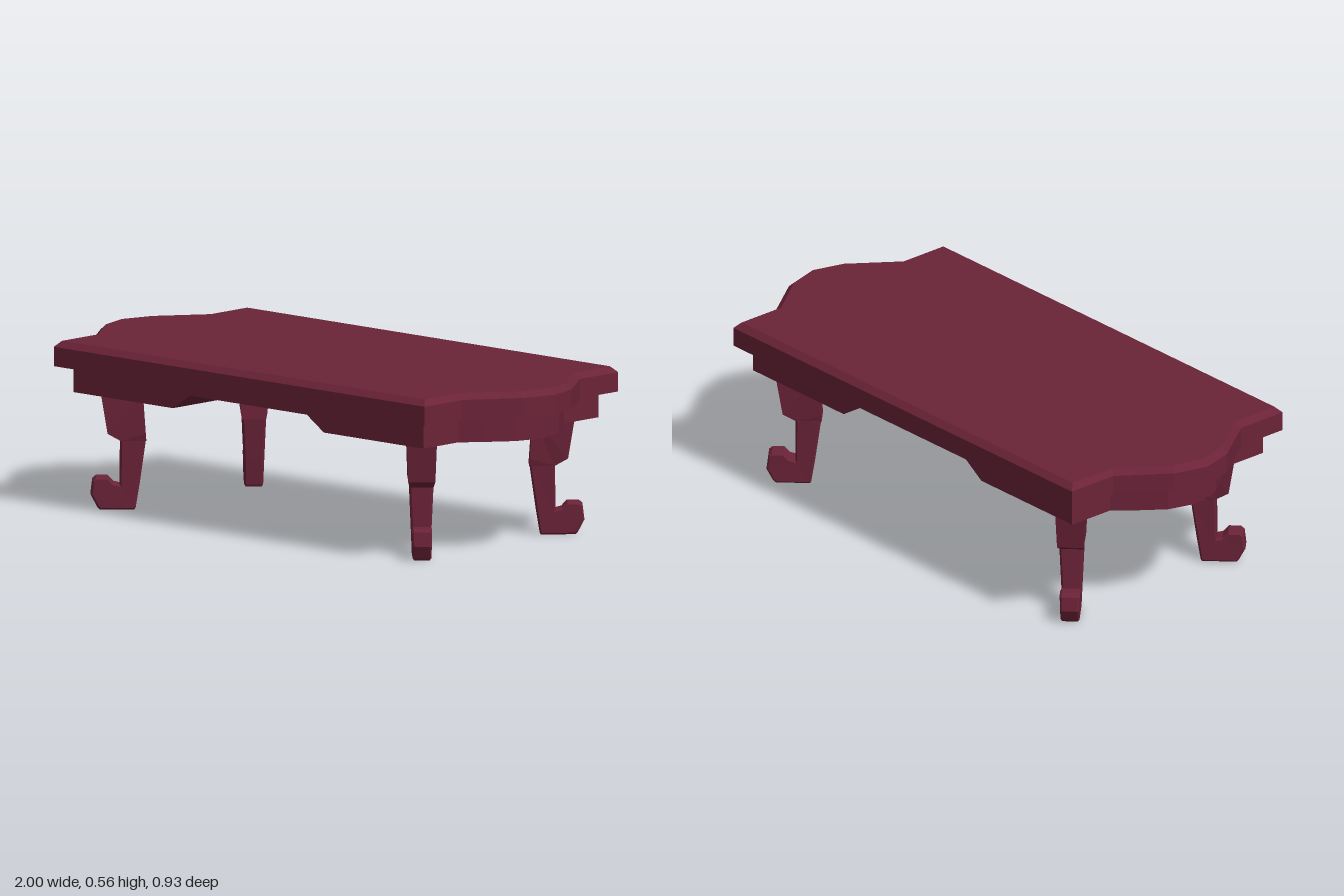
import * as THREE from 'three';

const shapeOf = (pts) => new THREE.Shape(pts.map(([x, y]) => new THREE.Vector2(x, y)));

// Moves every vertex of a geometry by a rule and refreshes the normals.
function reshape(geo, rule) {
  const p = geo.attributes.position;
  const v = new THREE.Vector3();
  for (let i = 0; i < p.count; i++) {
    v.fromBufferAttribute(p, i);
    rule(v);
    p.setXYZ(i, v.x, v.y, v.z);
  }
  geo.computeVertexNormals();
  return geo;
}

// Straight-sided plan extruded upward from y = 0.
function slab(pts, height, steps = 1) {
  const geo = new THREE.ExtrudeGeometry(shapeOf(pts), { depth: height, steps, bevelEnabled: false });
  return geo.rotateX(-Math.PI / 2);
}

// Bowed end of a plan, from the front corner round to the back corner.
function endCurve(quarter) {
  const back = quarter.slice(0, -1).reverse().map(([x, z]) => [x, -z]);
  return [...quarter, ...back];
}

// Piecewise linear half width of the leg at height y.
const WIDTHS = [[0, 0.031], [0.09, 0.033], [0.235, 0.04], [0.26, 0.045], [0.4, 0.05]];
function halfWidth(y) {
  for (let i = 1; i < WIDTHS.length; i++) {
    const [y0, w0] = WIDTHS[i - 1];
    const [y1, w1] = WIDTHS[i];
    if (y <= y1) return THREE.MathUtils.mapLinear(y, y0, y1, w0, w1);
  }
  return 0.05;
}

// Side profile given a tapering width.
function legPart(profile, bevel) {
  const geo = new THREE.ExtrudeGeometry(shapeOf(profile), {
    depth: 2 - 2 * bevel * 30, bevelEnabled: bevel > 0, bevelSegments: 1,
    bevelSize: bevel, bevelOffset: -bevel, bevelThickness: bevel * 30,
  });
  geo.translate(0, 0, -(1 - bevel * 30));
  return reshape(geo, (v) => { v.z *= halfWidth(v.y); });
}

export function createModel() {
  const group = new THREE.Group();
  group.name = 'lowTable';
  const wood = new THREE.MeshStandardMaterial({ color: 0x6b2338 });
  wood.name = 'mahogany';
  const add = (parent, geo, name) => {
    const mesh = new THREE.Mesh(geo, wood);
    mesh.name = name;
    parent.add(mesh);
    return mesh;
  };

  // Table top with bowed ends and a chamfered upper edge
  const topEnd = endCurve([[0.848, 0.466], [0.848, 0.283], [0.9, 0.21], [0.968, 0.115], [1, 0]]);
  const topPlan = [...topEnd, ...topEnd.map(([x, z]) => [-x, -z])];
  const top = reshape(slab(topPlan, 0.085, 2), (v) => {
    if (v.y > 0.08) {
      v.x *= 0.978;
      v.z *= 0.957;
    } else if (v.y > 0.02) v.y = 0.065;
  });
  add(group, top, 'tableTop').position.y = 0.48;

  // Apron: a shallow middle and two deeper ends with sloping inner faces
  const apron = new THREE.Group();
  apron.name = 'apron';
  group.add(apron);
  add(apron, new THREE.BoxGeometry(0.54, 0.031, 0.844), 'apronMiddle').position.y = 0.4595;
  const apronEnd = endCurve([[0.8, 0.422], [0.8, 0.255], [0.852, 0.195], [0.92, 0.105], [0.951, 0]]);
  const endPlan = [[0.22, 0.422], ...apronEnd, [0.22, -0.422]];
  for (const side of [1, -1]) {
    const end = reshape(slab(endPlan, 0.082), (v) => {
      if (v.x < 0.3 && v.y < 0.04) v.x = 0.345;
    });
    const mesh = add(apron, end, side > 0 ? 'leftApronEnd' : 'rightApronEnd');
    mesh.position.y = 0.393;
    if (side < 0) mesh.rotation.y = Math.PI;
  }

  // Curved legs set on the diagonals with upturned toes
  const knee = legPart([[-0.07, 0.4], [-0.08, 0.26], [-0.082, 0.235], [0.004, 0.235],
    [0.047, 0.26], [0.07, 0.4]], 0);
  const foot = legPart([[-0.081, 0.24], [-0.06, 0.09], [-0.047, 0.01], [-0.043, 0.002], [0.072, 0.002],
    [0.08, 0.01], [0.102, 0.052], [0.096, 0.1], [0.084, 0.11], [0.045, 0.11],
    [0.026, 0.09], [0.006, 0.085], [0.004, 0.24]], 0.006);
  for (const sx of [1, -1]) {
    for (const sz of [1, -1]) {
      const leg = new THREE.Group();
      leg.name = (sz > 0 ? 'front' : 'back') + (sx > 0 ? 'Left' : 'Right') + 'Leg';
      add(leg, knee, 'knee');
      add(leg, foot, 'shankAndFoot');
      leg.position.set(sx * 0.686, 0, sz > 0 ? 0.311 : -0.325);
      leg.rotation.y = Math.atan2(-sz, sx);
      group.add(leg);
    }
  }
  return group;
}
